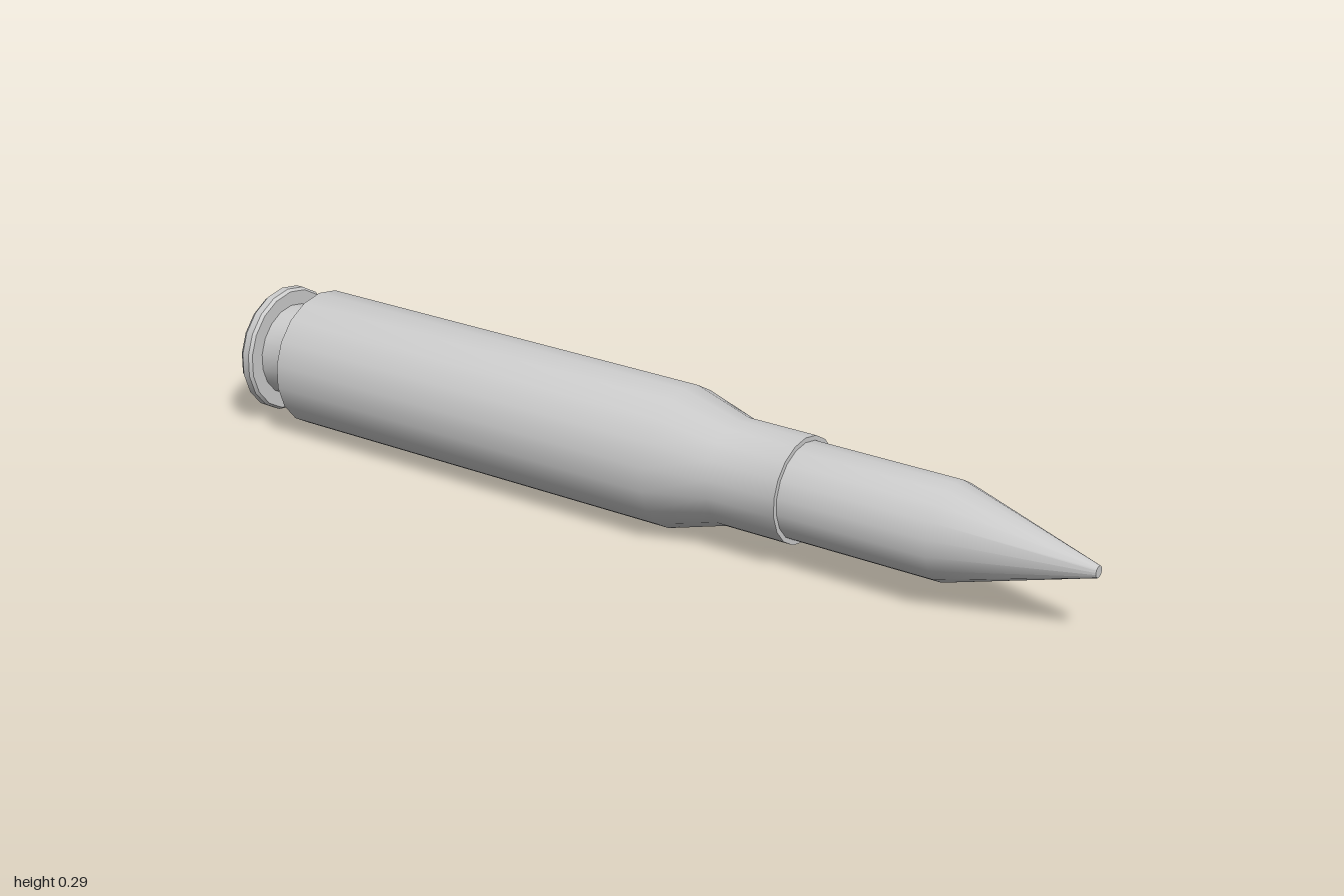
import * as THREE from 'three';
import { toCreasedNormals } from 'three/addons/utils/BufferGeometryUtils.js';

const SIDES = 18;
const RADIUS = 0.1465;

// Turned part along z; profile is [radius, z] from back to front
function turned(name, profile, material) {
  const points = profile.map(([r, z]) => new THREE.Vector2(r, z));
  const geometry = new THREE.LatheGeometry(points, SIDES).rotateX(Math.PI / 2);
  const mesh = new THREE.Mesh(toCreasedNormals(geometry, Math.PI / 6), material);
  mesh.name = name;
  mesh.position.y = RADIUS;
  return mesh;
}

export function createModel() {
  const group = new THREE.Group();
  group.name = 'cartridge';
  const material = new THREE.MeshStandardMaterial({ color: 0xcccccc });

  // Case: rim, extractor groove, body, shoulder and neck
  group.add(turned('case', [
    [0, -1], [0.128, -1], [0.136, -0.99], [0.136, -0.974], [0.131, -0.967],
    [0.1, -0.967], [0.1, -0.915], [RADIUS, -0.883],
    [RADIUS, 0.07], [0.11, 0.2], [0.11, 0.358], [0.098, 0.358],
  ], material));

  // Bullet: straight shank, cone and small flat tip
  group.add(turned('bullet', [
    [0.1, 0.33], [0.1, 0.69], [0.012, 1], [0, 1],
  ], material));

  return group;
}
